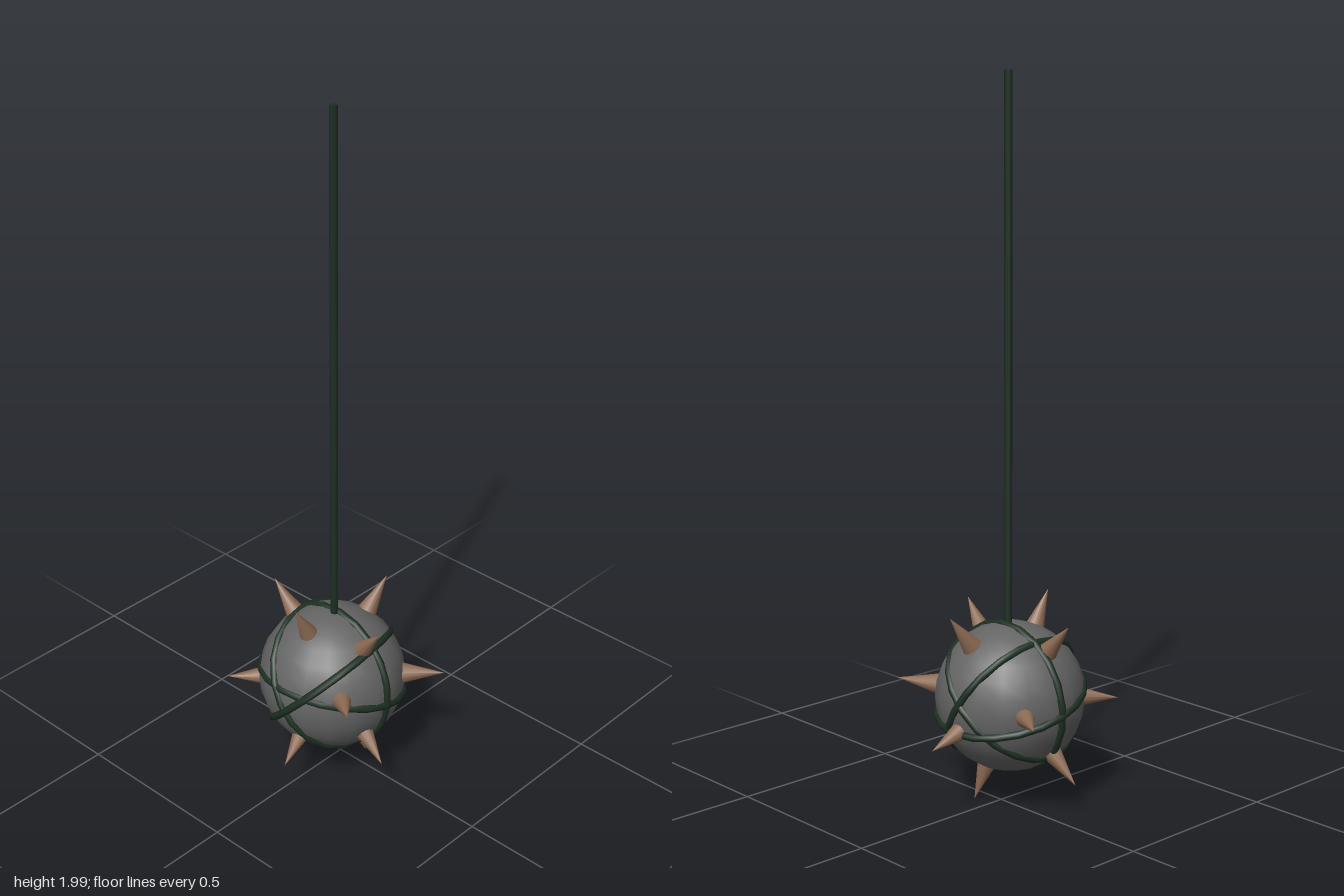
import * as THREE from 'three';

const CENTRE = new THREE.Vector3(-0.035, 0.307, 0);
const UP = new THREE.Vector3(0, 1, 0);

function material(name, color) {
  const m = new THREE.MeshStandardMaterial({ color });
  m.name = name;
  return m;
}

export function createModel() {
  const group = new THREE.Group();
  group.name = 'hangingSpikedBall';
  const stone = material('stone grey', 0x656565);
  const vine = material('dark vine green', 0x1d2f22);
  const wood = material('spike brown', 0x8c6a53);

  const add = (parent, name, geometry, mat) => {
    const mesh = new THREE.Mesh(geometry, mat);
    mesh.name = name;
    parent.add(mesh);
    return mesh;
  };

  // Rope from the top of the ball upward
  const rope = add(group, 'rope', new THREE.CylinderGeometry(0.011, 0.011, 1.51, 8), vine);
  rope.position.set(-0.03, 1.245, 0.004);

  // Everything on the ball is placed around its centre
  const head = new THREE.Group();
  head.name = 'spikedBall';
  head.position.copy(CENTRE);
  group.add(head);
  add(head, 'ball', new THREE.SphereGeometry(0.208, 18, 14), stone);

  // Vines wrapped round the ball: plane normal and small offset
  const vines = [
    [[1, -0.06, 0], [0.004, 0, 0]],
    [[0.28, 1, 0], [0, -0.01, 0]],
    [[0, 1, 1.58], [0, 0, 0]],
    [[-0.15, 1, -1], [-0.004, 0, 0]],
  ];
  const z = new THREE.Vector3(0, 0, 1);
  for (const [normal, offset] of vines) {
    const ring = add(head, 'vineRing', new THREE.TorusGeometry(0.206, 0.011, 8, 20), vine);
    ring.quaternion.setFromUnitVectors(z, new THREE.Vector3(...normal).normalize());
    ring.position.set(...offset);
  }

  // Spikes: directions from the ball centre
  const spikes = [
    [0.165, 0, -0.26], [-0.21, -0.005, -0.21], [-0.02, -0.205, -0.235],
    [-0.015, 0.235, -0.21], [-0.14, 0.277, -0.005], [0.293, -0.09, -0.005],
    [0.195, 0.25, 0.03], [-0.025, 0.235, 0.2], [-0.19, 0.07, 0.235],
    [-0.07, -0.15, 0.255], [0.185, 0.03, 0.26], [-0.227, -0.185, 0.03],
    [0.085, -0.296, 0.055],
  ];
  const cone = new THREE.ConeGeometry(0.032, 0.13, 12);
  cone.translate(0, -0.065, 0); // tip at the origin
  for (const tip of spikes) {
    const spike = add(head, 'spike', cone, wood);
    spike.position.set(...tip);
    spike.quaternion.setFromUnitVectors(UP, spike.position.clone().normalize());
  }
  return group;
}
